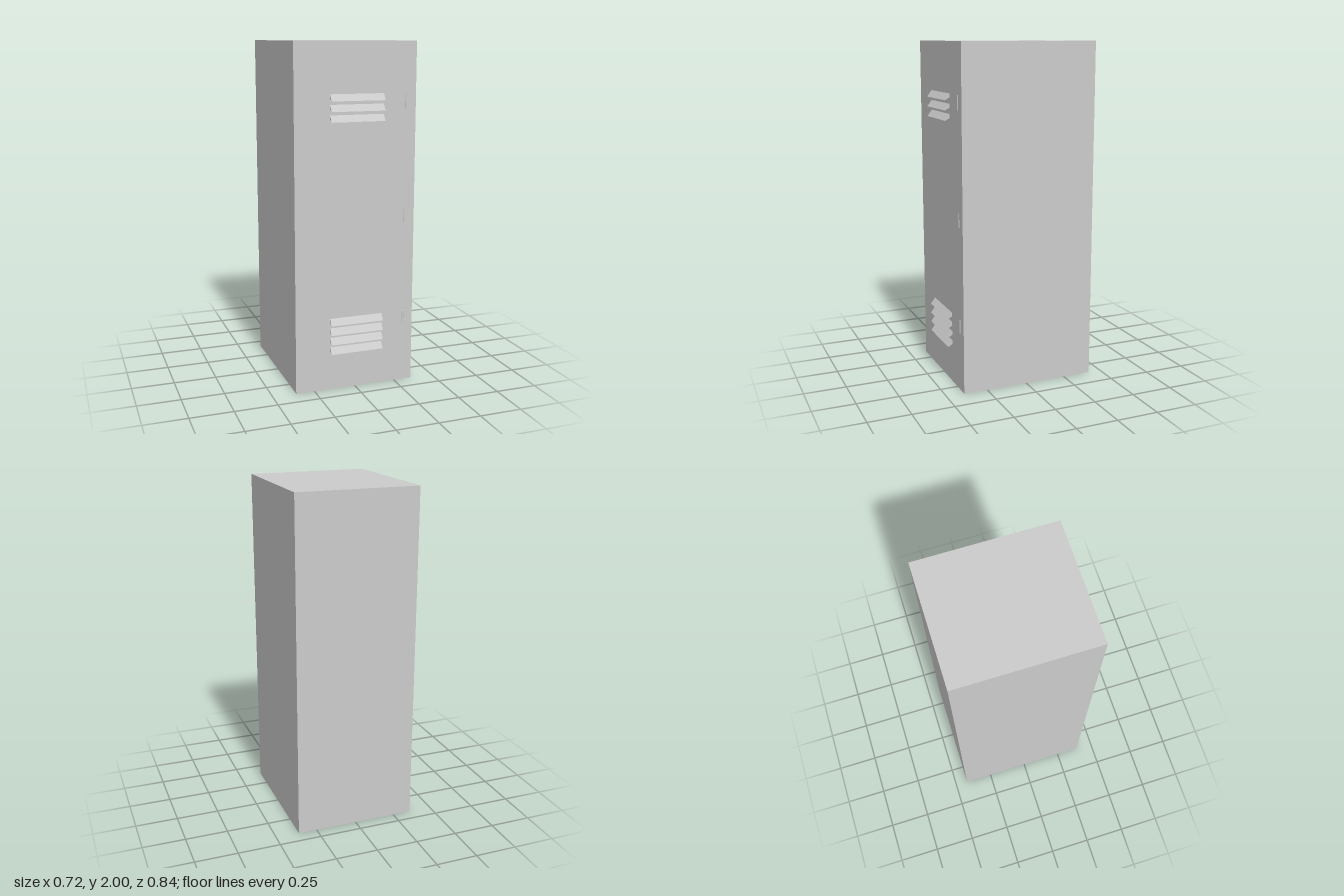
import * as THREE from 'three';

const FRONT = 0.393, BACK = -0.422;

export function createModel() {
  const locker = new THREE.Group();
  locker.name = 'locker';
  const material = new THREE.MeshStandardMaterial({ color: 0xcccccc, flatShading: true });
  const smooth = new THREE.MeshStandardMaterial({ color: 0xcccccc });

  function add(name, geometry, x, y, z, mat = material) {
    const mesh = new THREE.Mesh(geometry, mat);
    mesh.name = name;
    mesh.position.set(x, y, z);
    locker.add(mesh);
  }

  // Cabinet body
  add('cabinet', new THREE.BoxGeometry(0.722, 2, FRONT - BACK), 0, 1, (FRONT + BACK) / 2);

  // Vent slat: slanted section (outward, up) swept sideways, its inner edge sunk into the door
  const section = new THREE.Shape([
    new THREE.Vector2(-0.004, 0.043),
    new THREE.Vector2(-0.004, 0.018),
    new THREE.Vector2(0.027, 0),
  ]);
  const slatWidth = 0.319;
  const slat = new THREE.ExtrudeGeometry(section, { depth: slatWidth, bevelEnabled: false });
  slat.translate(0, 0, -slatWidth / 2);
  slat.rotateY(-Math.PI / 2); // outward axis turns to +z

  // Upper and lower vents
  for (const [name, bottom, count] of [['upperVentSlat', 1.56, 3], ['lowerVentSlat', 0.22, 4]]) {
    for (let i = 0; i < count; i++) add(name, slat, 0.0055, bottom + i * 0.0575, FRONT);
  }

  // Door hinges: slim pins half sunk into the front
  const hinge = new THREE.CylinderGeometry(0.006, 0.006, 0.083, 16);
  for (const y of [1.67, 1.013, 0.387]) add('hinge', hinge, 0.301, y, FRONT - 0.002, smooth);

  return locker;
}
